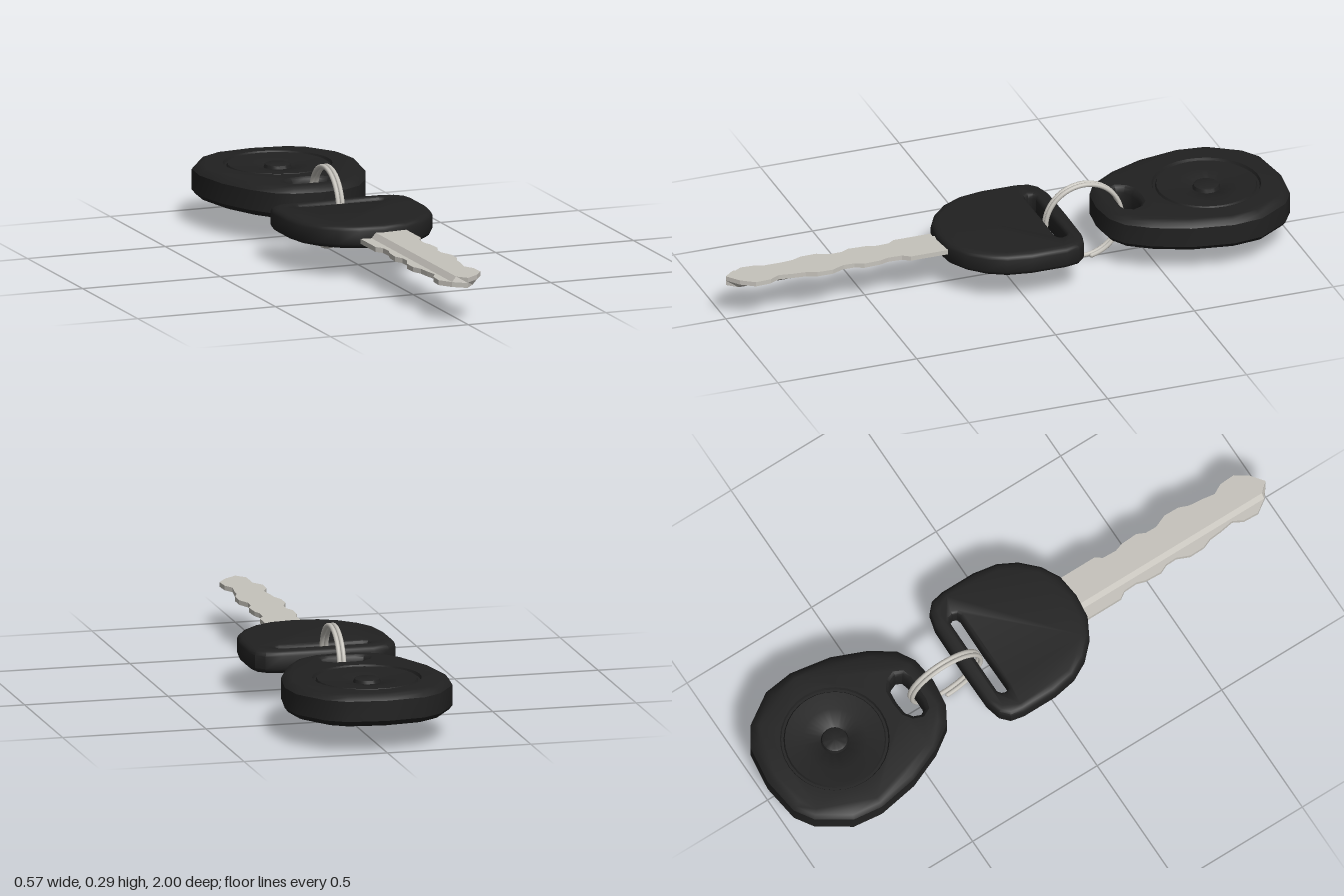
import * as THREE from 'three';
import { toCreasedNormals } from 'three/addons/utils/BufferGeometryUtils.js';

const V2 = (x, z) => new THREE.Vector2(x, -z);

// Mirror a half outline (back to front, [x, z]) into a closed counter-clockwise contour.
function contour(half) {
  const mirrored = half.filter(([x]) => x > 0).map(([x, z]) => [-x, z]).reverse();
  return [...half, ...mirrored].map(([x, z]) => V2(x, z)).reverse();
}

// Move every contour point into the material, which lies left of the direction of travel.
function inset(pts, d) {
  const n = pts.length;
  return pts.map((p, i) => {
    const a = p.clone().sub(pts[(i + n - 1) % n]).normalize();
    const b = pts[(i + 1) % n].clone().sub(p).normalize();
    const m = new THREE.Vector2(-a.y - b.y, a.x + b.x).normalize();
    const miter = Math.max(0.6, -a.y * m.x + a.x * m.y);
    return p.clone().addScaledVector(m, d / miter);
  });
}

// Join two equal loops of 3D points with outward-facing quads.
function band(out, a, b) {
  a.forEach((p, i) => {
    const j = (i + 1) % a.length;
    for (const v of [p, a[j], b[j], p, b[j], b[i]]) out.push(v.x, v.y, v.z);
  });
}

function toGeometry(positions) {
  const g = new THREE.BufferGeometry();
  g.setAttribute('position', new THREE.Float32BufferAttribute(positions, 3));
  g.computeVertexNormals();
  return g;
}

const lift = (pts, y) => pts.map((p) => new THREE.Vector3(p.x, y, p.y * -1));

// Bevelled plate with a through slot and an optional opening in the top face only.
function plate(outer, slot, profile, topOpening) {
  const out = [];
  const hole = slot.slice().reverse();
  for (const [loop, k] of [[outer, 1], [hole, 0.5]]) {
    for (let i = 0; i + 1 < profile.length; i++) {
      const [d0, y0] = profile[i], [d1, y1] = profile[i + 1];
      band(out, lift(inset(loop, d0 * k), y0), lift(inset(loop, d1 * k), y1));
    }
  }
  const cap = ([d, y], top) => {
    const rim = inset(outer, d), holes = [inset(hole, d * 0.5)];
    if (top && topOpening) holes.push(topOpening);
    const verts = lift([rim, ...holes].flat(), y);
    for (const [a, b, c] of THREE.ShapeUtils.triangulateShape(rim, holes)) {
      for (const i of top ? [a, b, c] : [a, c, b]) out.push(verts[i].x, verts[i].y, verts[i].z);
    }
  };
  cap(profile[0], false);
  cap(profile[profile.length - 1], true);
  return toCreasedNormals(toGeometry(out), 0.6);
}

export function createModel() {
  const black = new THREE.MeshStandardMaterial({ color: 0x212121 });
  black.name = 'black plastic';
  const metal = new THREE.MeshStandardMaterial({ color: 0xc6c3bc });
  metal.name = 'steel';

  const model = new THREE.Group();
  model.name = 'carKey';
  const add = (name, geometry, material, parent = model) => {
    const mesh = new THREE.Mesh(geometry, material);
    mesh.name = name;
    parent.add(mesh);
    return mesh;
  };

  // Remote fob
  const fob = new THREE.Group();
  fob.name = 'remoteFob';
  model.add(fob);
  const dishZ = -0.73, dishR = 0.185, sides = 32;
  const opening = Array.from({ length: sides }, (_, i) => {
    const t = -(i / sides) * Math.PI * 2;
    return V2(Math.cos(t) * dishR, dishZ - Math.sin(t) * dishR);
  });
  add('fobBody', plate(
    contour([[0, -1], [0.135, -0.982], [0.2, -0.94], [0.272, -0.83], [0.285, -0.725], [0.26, -0.58],
      [0.21, -0.46], [0.155, -0.38], [0.095, -0.345], [0, -0.333]]),
    contour([[0, -0.482], [0.045, -0.478], [0.07, -0.46], [0.08, -0.435], [0.07, -0.415], [0.045, -0.408], [0, -0.408]]),
    [[0.03, 0.09], [0.012, 0.097], [0, 0.112], [0, 0.182], [0.012, 0.196], [0.03, 0.203]],
    opening), black, fob);

  // Round button pad: groove, shallow dish and centre button
  const pad = [[dishR, 0.203], [0.181, 0.193], [0.173, 0.193], [0.169, 0.201], [0.11, 0.197], [0.052, 0.19],
    [0.047, 0.187], [0.043, 0.199], [0.036, 0.202], [0, 0.202]].map(([r, y]) => new THREE.Vector2(r, y));
  add('buttonPad', toCreasedNormals(new THREE.LatheGeometry(pad, sides), 0.6), black, fob)
    .position.z = dishZ;

  // Key head
  add('keyHead', plate(
    contour([[0, -0.226], [0.16, -0.224], [0.215, -0.21], [0.245, -0.182], [0.255, -0.135], [0.255, -0.01],
      [0.24, 0.075], [0.205, 0.14], [0.15, 0.195], [0.085, 0.23], [0, 0.24]]),
    contour([[0, -0.172], [0.145, -0.172], [0.158, -0.163], [0.163, -0.15], [0.158, -0.138], [0.145, -0.133], [0, -0.135]]),
    [[0.026, 0.107], [0.012, 0.11], [0.004, 0.116], [0, 0.125], [0, 0.169], [0.004, 0.178], [0.012, 0.184], [0.026, 0.187]]
  ), black);

  // Blade: stepped section swept along z with notched edges
  const notches = [[0.15, 0.083], [0.365, 0.083], [0.39, 0.066], [0.44, 0.064], [0.47, 0.074], [0.53, 0.077],
    [0.56, 0.063], [0.6, 0.062], [0.645, 0.081], [0.7, 0.08], [0.735, 0.066], [0.78, 0.062], [0.83, 0.054],
    [0.865, 0.073], [0.92, 0.076], [0.965, 0.045], [1, 0]];
  const section = ([z, w]) => [[-w, 0.128], [0.03, 0.13], [0.045, 0.147], [w, 0.147],
    [w, 0.163], [-0.03, 0.163], [-0.045, 0.145], [-w, 0.145]]
    .map(([x, y]) => new THREE.Vector3(THREE.MathUtils.clamp(x, -w, w), y, z));
  const blade = [];
  for (let i = 0; i + 1 < notches.length; i++) band(blade, section(notches[i]), section(notches[i + 1]));
  add('keyBlade', toGeometry(blade), metal);

  // Split ring: two turns of wire, with rounded ends
  const wire = 0.008, turns = 1.97, steps = 64;
  const path = Array.from({ length: steps + 1 }, (_, i) => {
    const u = (i / steps) * turns, t = u * Math.PI * 2;
    return new THREE.Vector3(-0.0145 + u * 0.0155, 0.1445 - Math.cos(t) * 0.135, -0.286 + Math.sin(t) * 0.135);
  });
  const ring = new THREE.Group();
  ring.name = 'splitRing';
  model.add(ring);
  add('ringWire', new THREE.TubeGeometry(new THREE.CatmullRomCurve3(path), 112, wire, 8), metal, ring);
  for (const end of [path[0], path[steps]]) {
    add('wireEnd', new THREE.SphereGeometry(wire, 8, 6), metal, ring).position.copy(end);
  }
  return model;
}
